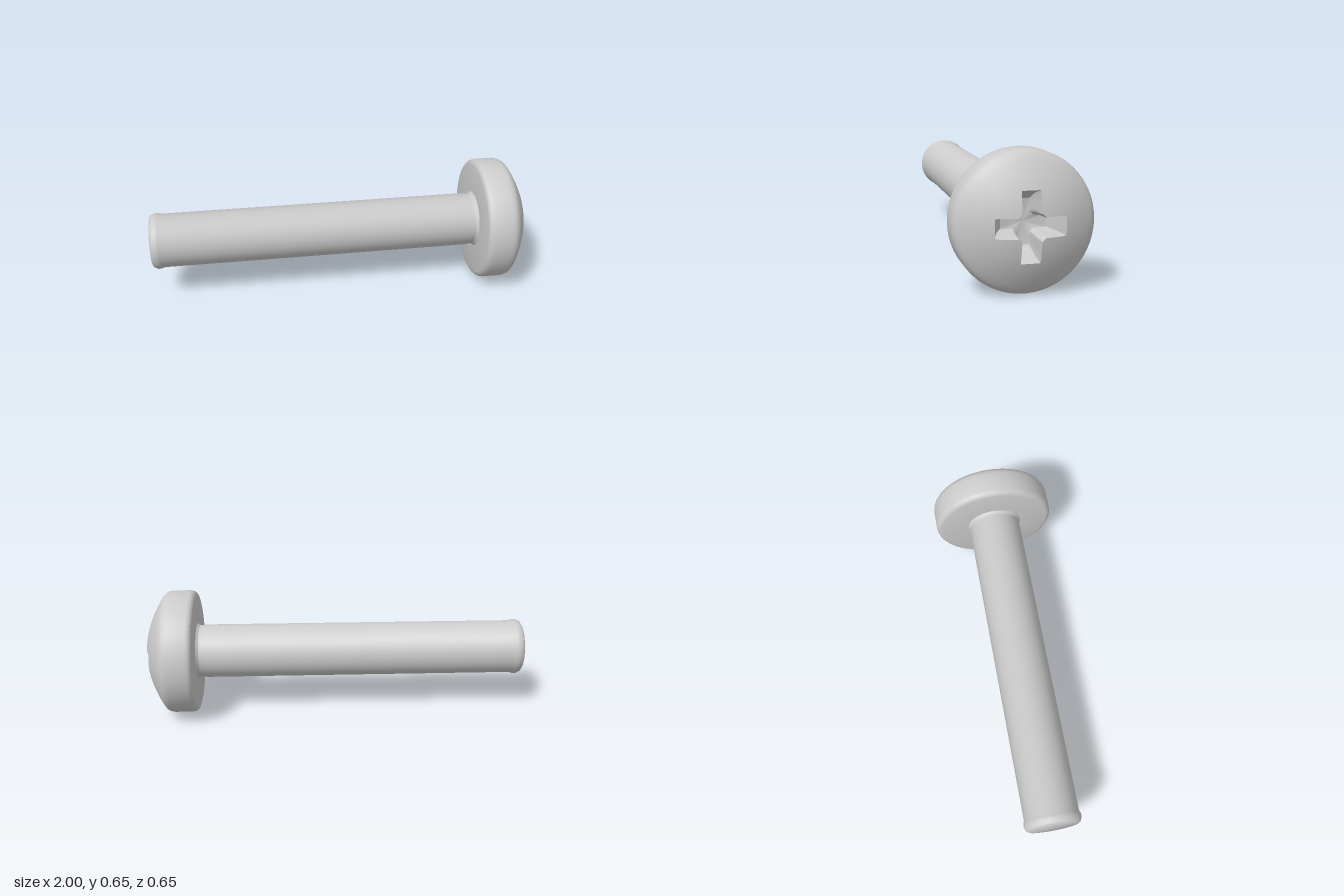
import * as THREE from 'three';
import { toCreasedNormals } from 'three/addons/utils/BufferGeometryUtils.js';

const SEG = 120;      // points around the head
const RADIUS = 0.325; // head radius

// Radius of a cross outline at an angle: arm length, arm half width, inner corner chamfer
function crossRadius(angle, length, half, chamfer) {
  const quarter = Math.PI / 2;
  const a = Math.abs(angle - Math.round(angle / quarter) * quarter);
  const c = Math.cos(a), s = Math.sin(a);
  const arm = Math.min(length / c, half / Math.max(s, 1e-6));
  return Math.max(arm, chamfer / (c + s));
}

const domeX = (r) => 1.003 - 1.09 * r * r;

// Skin a list of loops around the x axis; each loop gives [x, radius] for an angle
function loft(loops) {
  const pos = [], index = [];
  for (const loop of loops) {
    for (let j = 0; j < SEG; j++) {
      const a = (j / SEG) * Math.PI * 2;
      const [x, r] = loop(a);
      pos.push(x, r * Math.cos(a), r * Math.sin(a));
    }
  }
  for (let i = 0; i < loops.length - 1; i++) {
    for (let j = 0; j < SEG; j++) {
      const k = (j + 1) % SEG;
      const a = i * SEG + j, b = a + SEG, c = (i + 1) * SEG + k, d = i * SEG + k;
      index.push(a, b, c, a, c, d);
    }
  }
  const geo = new THREE.BufferGeometry();
  geo.setAttribute('position', new THREE.Float32BufferAttribute(pos, 3));
  geo.setIndex(index);
  return toCreasedNormals(geo, 0.6);
}

function headGeometry() {
  const mouth = (a) => crossRadius(a, 0.16, 0.045, 0.106);
  const floor = (a) => crossRadius(a, 0.105, 0.03, 0.075);
  const loops = [];

  // Recess: floor centre, floor edge, tapered walls up to the mouth
  loops.push(() => [0.835, 0.0005]);
  loops.push((a) => [0.85, floor(a)]);
  loops.push((a) => [0.9, THREE.MathUtils.lerp(floor(a), mouth(a), 0.55)]);
  loops.push((a) => [domeX(mouth(a)) - 0.008, mouth(a) - 0.003]);

  // Dome: blend from the cross-shaped mouth to the round edge
  const edge = 0.3;
  for (let i = 0; i <= 8; i++) {
    loops.push((a) => {
      const r = THREE.MathUtils.lerp(mouth(a), edge, i / 8);
      return [domeX(r), r];
    });
  }

  // Rounded rim and flat underside
  const rim = [
    [0.893, 0.313], [0.88, 0.321], [0.862, RADIUS], [0.765, RADIUS],
    [0.75, 0.321], [0.739, 0.311], [0.735, 0.298], [0.735, 0.1],
  ];
  for (const p of rim) loops.push(() => p);
  return loft(loops);
}

function shaftGeometry() {
  // Flat tip, small burr at the end, straight body, slight neck and fillet under the head
  const profile = [
    [0, -1], [0.128, -1], [0.139, -0.993], [0.148, -0.972], [0.146, -0.955],
    [0.141, -0.94], [0.141, 0.69], [0.137, 0.705], [0.138, 0.722], [0.15, 0.737],
  ].map(([r, y]) => new THREE.Vector2(r, y));
  const geo = new THREE.LatheGeometry(profile, 48);
  geo.rotateZ(-Math.PI / 2);
  return toCreasedNormals(geo, 0.6);
}

export function createModel() {
  const material = new THREE.MeshStandardMaterial({ color: 0xcccccc });
  const model = new THREE.Group();
  model.name = 'machineScrew';

  const parts = { head: headGeometry(), shaft: shaftGeometry() };
  for (const [name, geometry] of Object.entries(parts)) {
    const mesh = new THREE.Mesh(geometry, material);
    mesh.name = name;
    mesh.position.y = RADIUS;
    model.add(mesh);
  }
  return model;
}
